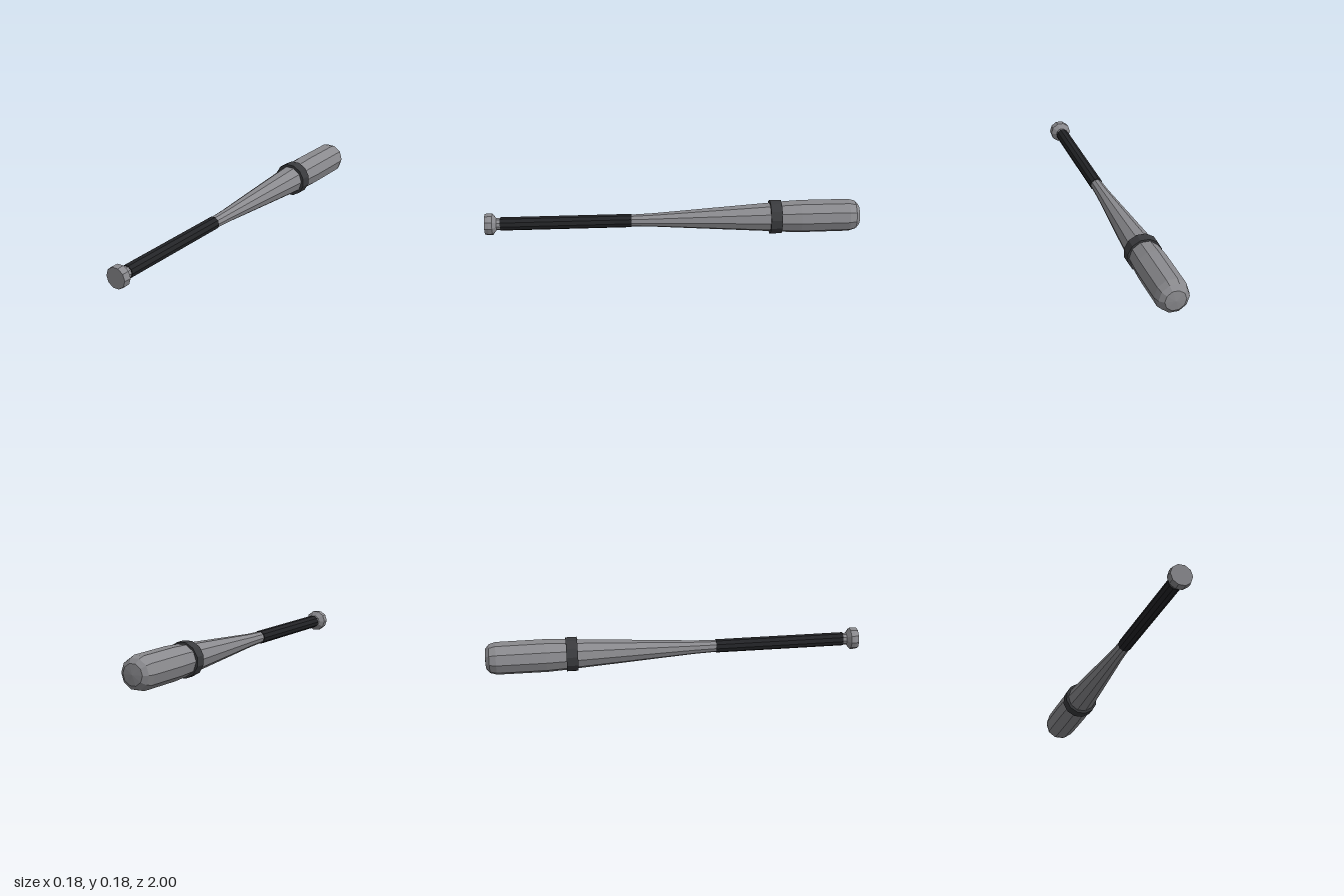
import * as THREE from 'three';

const AXIS_HEIGHT = 0.089;

// Faceted solid turned around the z axis; profile holds [radius, z] with z rising
function turned(name, profile, sides, color) {
  const points = profile.map(([r, z]) => new THREE.Vector2(r, z));
  const geometry = new THREE.LatheGeometry(points, sides, Math.PI / sides, Math.PI * 2);
  geometry.rotateX(Math.PI / 2);
  const mesh = new THREE.Mesh(
    geometry,
    new THREE.MeshStandardMaterial({ color, flatShading: true })
  );
  mesh.name = name;
  mesh.position.y = AXIS_HEIGHT;
  return mesh;
}

export function createModel() {
  const bat = new THREE.Group();
  bat.name = 'bat';
  const metal = 0x8a8a8e;

  // Rounded tip, barrel and long taper into the handle
  bat.add(turned('barrel', [
    [0, -1], [0.054, -0.995], [0.077, -0.975], [0.087, -0.94],
    [0.088, -0.68], [0.083, -0.58], [0.078, -0.52], [0.057, -0.2],
    [0.037, 0.1], [0.032, 0.23], [0.031, 0.93],
  ], 10, metal));

  // Raised ring around the barrel
  bat.add(turned('barrelBand', [
    [0.07, -0.575], [0.092, -0.575], [0.092, -0.515], [0.07, -0.515],
  ], 12, 0x3a3b3e));

  // Wrapped grip
  bat.add(turned('grip', [
    [0.028, 0.225], [0.036, 0.225], [0.036, 0.92], [0.028, 0.92],
  ], 10, 0x222326));

  // Flared knob at the end of the handle
  bat.add(turned('knob', [
    [0.031, 0.915], [0.032, 0.94], [0.058, 0.96],
    [0.059, 0.98], [0.056, 1], [0, 1],
  ], 10, metal));

  return bat;
}
